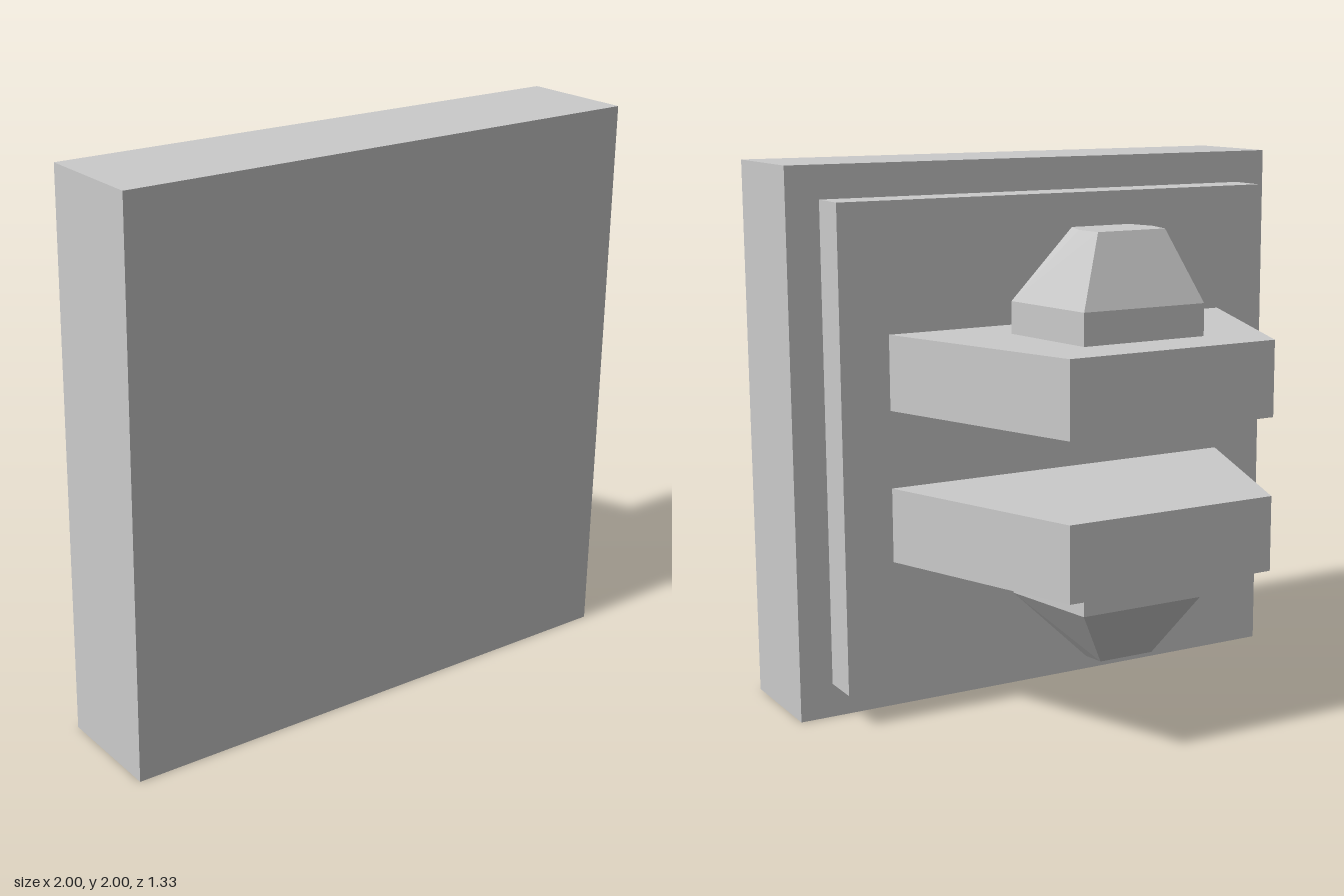
import * as THREE from 'three';
import { ConvexGeometry } from 'three/addons/geometries/ConvexGeometry.js';

const material = new THREE.MeshStandardMaterial({ color: 0xcccccc, flatShading: true });

// Box given by its half width and its y and z ranges
function slab(name, halfWidth, y0, y1, z0, z1) {
  const mesh = new THREE.Mesh(new THREE.BoxGeometry(2 * halfWidth, y1 - y0, z1 - z0), material);
  mesh.position.set(0, (y0 + y1) / 2, (z0 + z1) / 2);
  mesh.name = name;
  return mesh;
}

// Upright prism with a trapezoid plan, wider towards the front
function trapezoidPrism(name, frontHalf, frontZ, backHalf, backZ, y0, y1) {
  const plan = new THREE.Shape([
    new THREE.Vector2(-backHalf, backZ),
    new THREE.Vector2(backHalf, backZ),
    new THREE.Vector2(frontHalf, frontZ),
    new THREE.Vector2(-frontHalf, frontZ),
  ]);
  const geometry = new THREE.ExtrudeGeometry(plan, { depth: y1 - y0, bevelEnabled: false });
  geometry.rotateX(Math.PI / 2).translate(0, y1, 0);
  const mesh = new THREE.Mesh(geometry, material);
  mesh.name = name;
  return mesh;
}

const PIN = { frontHalf: 0.31, frontZ: -0.095, backHalf: 0.24, backZ: -0.475 };

// Tapered end: trapezoid base closing to a smaller hexagon
function taperedTip(name, baseY, tipY, scale) {
  const points = [];
  const hexagon = [[0.13, 0.1], [0.145, 0], [0.113, -0.1]]; // half width, distance behind centre
  for (const side of [-1, 1]) {
    points.push(new THREE.Vector3(side * PIN.frontHalf, baseY, PIN.frontZ));
    points.push(new THREE.Vector3(side * PIN.backHalf, baseY, PIN.backZ));
    for (const [x, back] of hexagon) {
      points.push(new THREE.Vector3(side * x * scale, tipY, -0.283 - back * scale));
    }
  }
  const mesh = new THREE.Mesh(new ConvexGeometry(points), material);
  mesh.name = name;
  return mesh;
}

function pinEnd(name, y0, y1, baseY, tipY, scale) {
  const group = new THREE.Group();
  group.name = name;
  group.add(
    trapezoidPrism(name + 'Collar', PIN.frontHalf, PIN.frontZ, PIN.backHalf, PIN.backZ, y0, y1),
    taperedTip(name + 'Tip', baseY, tipY, scale),
  );
  return group;
}

export function createModel() {
  const model = new THREE.Group();
  model.name = 'mountingBlock';

  // Front slab and the stepped plate behind it
  model.add(slab('frontSlab', 1, 0, 2, 0.25, 0.665));
  model.add(slab('backPlate', 0.875, 0.125, 1.88, 0.1, 0.25));

  // Two lugs projecting from the plate
  model.add(trapezoidPrism('upperLug', 0.69, 0.1, 0.405, -0.665, 1.145, 1.415));
  model.add(trapezoidPrism('lowerLug', 0.69, 0.1, 0.405, -0.665, 0.595, 0.865));

  // Pin ends outside the lugs
  model.add(pinEnd('upperPin', 1.415, 1.53, 1.53, 1.785, 1.03));
  model.add(pinEnd('lowerPin', 0.475, 0.595, 0.475, 0.26, 0.82));

  return model;
}
